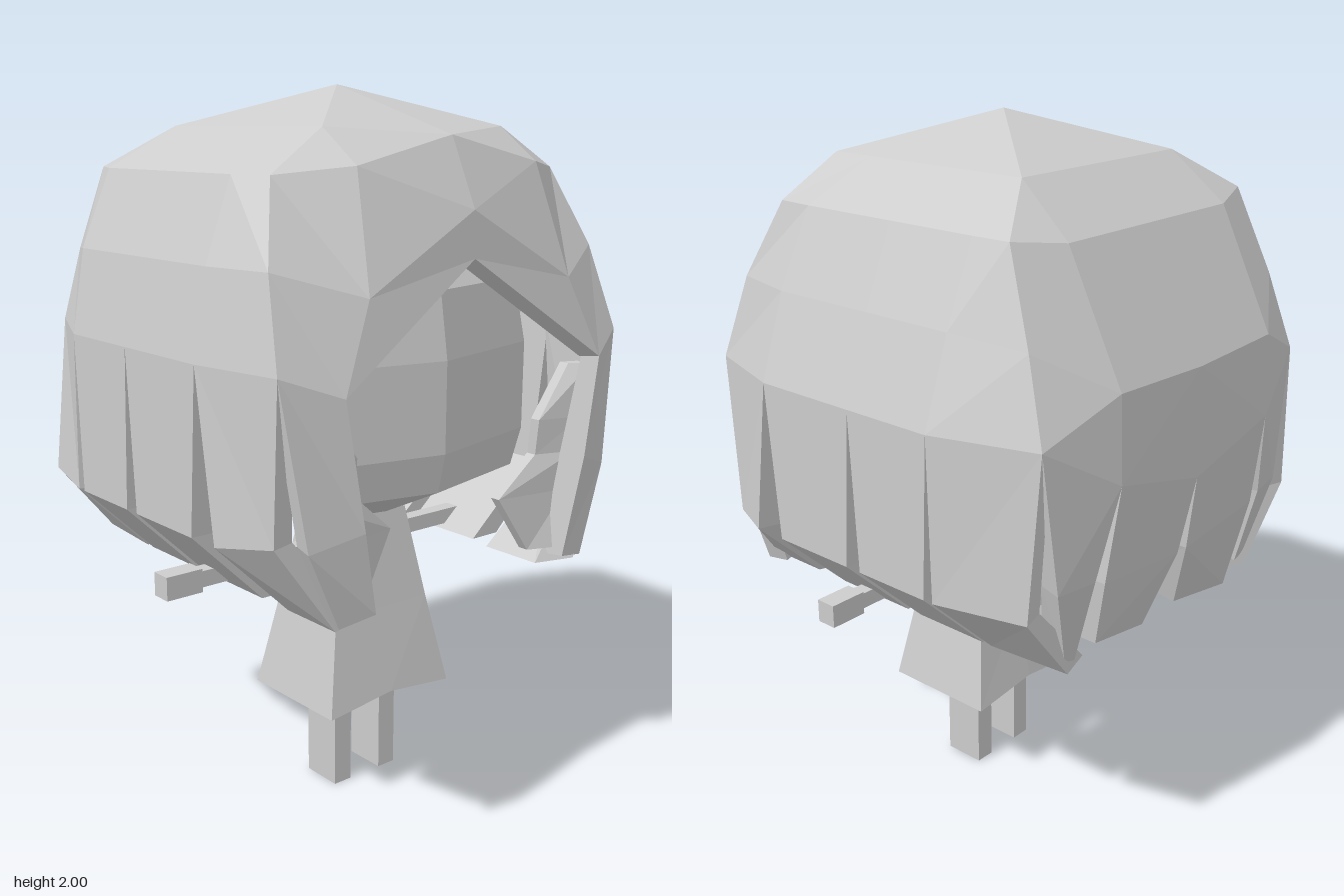
import * as THREE from 'three';

const grey = new THREE.MeshStandardMaterial({ color: 0xcccccc, flatShading: true, side: THREE.DoubleSide });
grey.name = 'plain grey';

// Faceted skin through rings of equal length (counter-clockwise from above, bottom ring first).
// Diagonals swap halfway round so both sides fold alike.
function loft(name, rings, capped = true) {
  const pos = [];
  const tri = (a, b, c) => pos.push(...a, ...b, ...c);
  const n = rings[0].length;
  for (let i = 0; i < rings.length - 1; i++) {
    const lo = rings[i], hi = rings[i + 1];
    for (let j = 0; j < n; j++) {
      const k = (j + 1) % n;
      if (j < n / 2) {
        tri(lo[j], lo[k], hi[k]);
        tri(lo[j], hi[k], hi[j]);
      } else {
        tri(lo[j], lo[k], hi[j]);
        tri(lo[k], hi[k], hi[j]);
      }
    }
  }
  if (capped) {
    const lo = rings[0], hi = rings[rings.length - 1];
    for (let j = 1; j < n - 1; j++) {
      tri(lo[0], lo[j + 1], lo[j]);
      tri(hi[0], hi[j], hi[j + 1]);
    }
  }
  const g = new THREE.BufferGeometry();
  g.setAttribute('position', new THREE.Float32BufferAttribute(pos, 3));
  g.computeVertexNormals();
  const mesh = new THREE.Mesh(g, grey);
  mesh.name = name;
  return mesh;
}

// Full ring from half outlines listed from front centre to back centre; both use positive x.
const flipX = points => points.map(([x, y, z]) => [-x, y, z]).reverse();
const fullRing = (left, right = left) => [...left, ...flipX(right.slice(1, -1))];

function box(name, w, h, d, x, y, z) {
  const m = new THREE.Mesh(new THREE.BoxGeometry(w, h, d), grey);
  m.position.set(x, y, z);
  m.name = name;
  return m;
}

// Hair cap: half rings from the hem up to the crown
const HEM = [[0, 1.57, 0.57], [0.45, 1.28, 0.61], [0.57, 1.34, 0.56], [0.655, 1.34, 0.29], [0.655, 1.34, -0.03],
  [0.655, 1.34, -0.3], [0.57, 1.34, -0.585], [0.33, 1.2, -0.635], [0, 1.12, -0.635]];
const LEFT_CAP = [
  HEM,
  [[0, 1.69, 0.565], [0.35, 1.5, 0.575], [0.53, 1.57, 0.49], [0.575, 1.57, 0.29], [0.575, 1.57, -0.03],
    [0.575, 1.57, -0.3], [0.53, 1.55, -0.51], [0.33, 1.43, -0.625], [0, 1.42, -0.63]],
  [[0, 1.87, 0.48], [0.31, 1.8, 0.48], [0.48, 1.78, 0.38], [0.485, 1.78, 0.27], [0.485, 1.78, -0.03],
    [0.485, 1.78, -0.3], [0.48, 1.78, -0.41], [0.33, 1.76, -0.46], [0, 1.76, -0.46]],
  [[0, 1.87, 0.48], [0.31, 1.89, 0.35], [0.31, 1.89, 0.35], [0.31, 1.89, 0.22], [0.31, 1.89, -0.03],
    [0.31, 1.89, -0.2], [0.31, 1.89, -0.3], [0.31, 1.89, -0.3], [0, 1.89, -0.3]],
  HEM.map(() => [0, 2, 0.03]),
];

// The right side is fuller: widening of front corner, side and back corner for each ring
const FULLER = [[0.04, 0, -0.04], [0.05, 0.04, -0.02], [0.01, 0.04, 0], [0, 0, 0], [0, 0, 0]];
const RIGHT_CAP = LEFT_CAP.map((ring, i) => ring.map(([x, y, z], j) => {
  const [front, flank, back] = FULLER[i];
  return [x + (j === 2 ? front : j === 6 ? back : j > 2 && j < 6 ? flank : 0), y, z];
}));

function hairCap() {
  const outer = LEFT_CAP.map((ring, i) => fullRing(ring, RIGHT_CAP[i]));
  const inner = outer.map(r => r.map(([x, y, z]) => [x * 0.93, 1.25 + (y - 1.25) * 0.93, z * 0.93])).reverse();
  return loft('hairCap', [...inner, ...outer], false);
}

// Hair locks: hem segment, inward direction, middle and lower edge corners, lower depth and lift;
// "right" holds what differs on the right side
const LOCKS = [
  { name: 'frontLock', hem: 1, dir: [-0.3, -1], mid: [[0.42, 1.0, 0.6], [0.56, 0.95, 0.55]],
    low: [[0.38, 0.71, 0.57], [0.48, 0.69, 0.55]], depth: 0.06,
    right: { mid: [[0.4, 0.95, 0.625], [0.57, 0.93, 0.62]], low: [[0.37, 0.74, 0.63], [0.47, 0.72, 0.61]] } },
  { name: 'sideLock1', hem: 2, dir: [-1, -0.3], mid: [[0.6, 0.9, 0.5], [0.655, 0.9, 0.36]],
    low: [[0.44, 0.69, 0.56], [0.44, 0.69, 0.37]], depth: 0.12,
    right: { mid: [[0.61, 0.93, 0.54], [0.655, 0.9, 0.36]] } },
  { name: 'sideLock2', hem: 3, dir: [-1, 0], mid: [[0.655, 0.9, 0.26], [0.655, 0.9, 0]],
    low: [[0.44, 0.69, 0.26], [0.44, 0.69, 0]], depth: 0.1 },
  { name: 'sideLock3', hem: 4, dir: [-1, 0], mid: [[0.655, 0.9, -0.05], [0.655, 0.9, -0.28]],
    low: [[0.44, 0.69, -0.05], [0.44, 0.69, -0.28]], depth: 0.1 },
  { name: 'sideLock4', hem: 5, dir: [-1, 0.3], mid: [[0.655, 0.9, -0.31], [0.59, 0.9, -0.56]],
    low: [[0.44, 0.69, -0.31], [0.42, 0.69, -0.55]], depth: 0.1 },
  { name: 'backLock1', hem: 6, dir: [-0.3, 1], mid: [[0.5, 0.95, -0.58], [0.38, 0.95, -0.6]],
    low: [[0.42, 0.72, -0.54], [0.38, 0.71, -0.54]], depth: 0.1, lift: 0.02 },
  { name: 'backLock2', hem: 7, dir: [0, 1], mid: [[0.34, 0.93, -0.6], [0.02, 0.9, -0.6]],
    low: [[0.32, 0.74, -0.56], [0.07, 0.68, -0.53]], depth: 0.23,
    right: { low: [[0.34, 0.645, -0.53], [0.08, 0.69, -0.53]], lift: 0.03 } },
];

function hairLock(lock, side) {
  const { name, hem, dir, mid, low, depth, lift = 0 } = side > 0 ? lock : { ...lock, ...lock.right };
  const top = (side > 0 ? LEFT_CAP : RIGHT_CAP)[0].slice(hem, hem + 2);
  const section = ([a, b], t, up) => {
    const inside = ([x, y, z]) => [x + dir[0] * t, y + up, z + dir[1] * t];
    const s = [a, b, inside(b), inside(a)];
    return side > 0 ? s : flipX(s);
  };
  return loft(name, [section(low, depth, lift), section(mid, 0.07, 0), section(top, 0.05, 0)]);
}

// Inner locks curling in beside the cheeks: height, inner x, outer x, z
function cheekLock(side) {
  const levels = [[0.73, 0.3, 0.4, 0.55], [0.89, 0.2, 0.43, 0.53], [1.0, 0.33, 0.45, 0.54],
    [1.1, 0.33, 0.46, 0.55], [1.25, 0.43, 0.48, 0.56]];
  return loft('cheekLock', levels.map(([y, xi, xo, z]) => {
    const s = [[xi, y, z - 0.04], [xo, y, z], [xo, y, z - 0.05], [xi, y, z - 0.07]];
    return side > 0 ? s : flipX(s);
  }));
}

// Head: one faceted outline scaled by height
function head() {
  const half = [[0, 0.48], [0.39, 0.39], [0.47, 0.15], [0.47, -0.2], [0.35, -0.4], [0, -0.46]];
  const levels = [[0.8, 0.25], [0.84, 0.52], [0.94, 0.95], [1.05, 1], [1.3, 1], [1.48, 0.94], [1.64, 0.68]];
  return loft('head', levels.map(([y, s]) => fullRing(half.map(([x, z]) => [x * s, y, z * s]))));
}

// Dress: flared, with the hem arched at front and back
function dress() {
  const ring = (y, w, d, dip) => fullRing([[0, y, 0.105 + d], [w, y - dip, 0.105 + d],
    [w, y - dip, 0.105], [w, y - dip, 0.105 - d], [0, y, 0.105 - d]]);
  return loft('dress', [ring(0.305, 0.222, 0.175, 0.025), ring(0.55, 0.17, 0.13, 0), ring(0.82, 0.125, 0.085, 0)]);
}

export function createModel() {
  const model = new THREE.Group();
  model.name = 'figure';
  const hair = new THREE.Group();
  hair.name = 'hair';
  hair.add(hairCap());
  model.add(hair, head(), dress());
  for (const side of [1, -1]) {
    for (const lock of LOCKS) hair.add(hairLock(lock, side));
    hair.add(cheekLock(side));
    model.add(
      box('leg', 0.06, 0.34, 0.125, side * 0.085, 0.17, 0.1025),
      box('arm', 0.45, 0.045, 0.045, side * 0.325, 0.725, 0.1),
      box('hand', 0.11, 0.065, 0.06, side * 0.595, 0.725, 0.1),
    );
  }
  return model;
}
